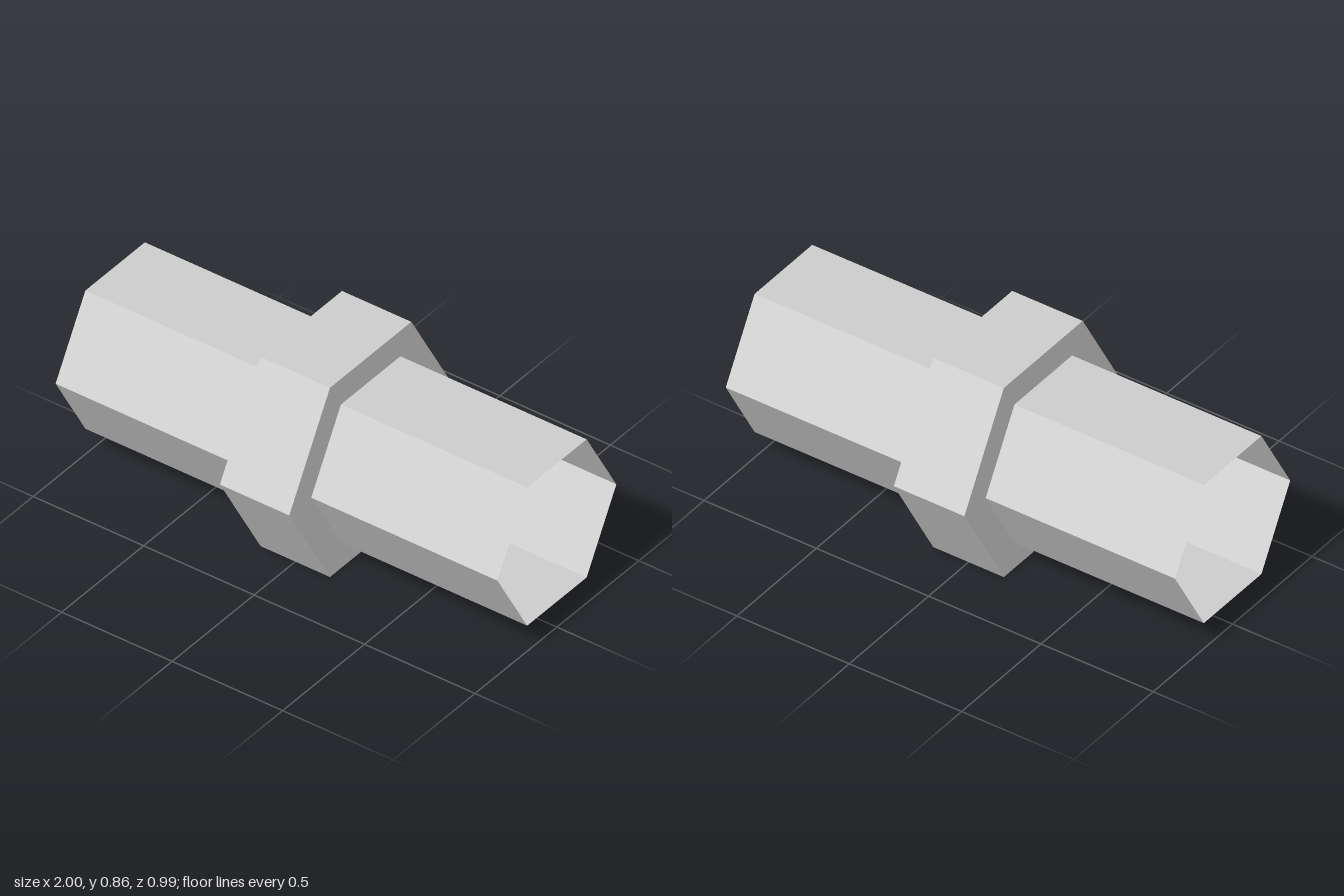
import * as THREE from 'three';

const SIDES = 6;
const TUBE_RADIUS = 0.363;
const COLLAR_RADIUS = 0.497;
const COLLAR_HALF_WIDTH = 0.157;
const AXIS_HEIGHT = COLLAR_RADIUS * Math.cos(Math.PI / SIDES);

export function createModel() {
  const model = new THREE.Group();
  model.name = 'hexagonalPipeWithCollar';
  const material = new THREE.MeshStandardMaterial({
    color: 0xcccccc, flatShading: true, side: THREE.DoubleSide,
  });

  // Lays a part modelled around y along the x axis, corners pointing to +z and -z
  const addPart = (name, geometry) => {
    geometry.rotateZ(-Math.PI / 2);
    const mesh = new THREE.Mesh(geometry, material);
    mesh.name = name;
    mesh.position.y = AXIS_HEIGHT;
    model.add(mesh);
  };

  // Thin-walled tube, open at both ends
  addPart('tube', new THREE.CylinderGeometry(TUBE_RADIUS, TUBE_RADIUS, 2, SIDES, 1, true));

  // Raised collar around the middle, closed down to the tube wall
  const profile = [
    [TUBE_RADIUS, -COLLAR_HALF_WIDTH],
    [COLLAR_RADIUS, -COLLAR_HALF_WIDTH],
    [COLLAR_RADIUS, COLLAR_HALF_WIDTH],
    [TUBE_RADIUS, COLLAR_HALF_WIDTH],
  ].map(([r, y]) => new THREE.Vector2(r, y));
  addPart('collar', new THREE.LatheGeometry(profile, SIDES));

  return model;
}
